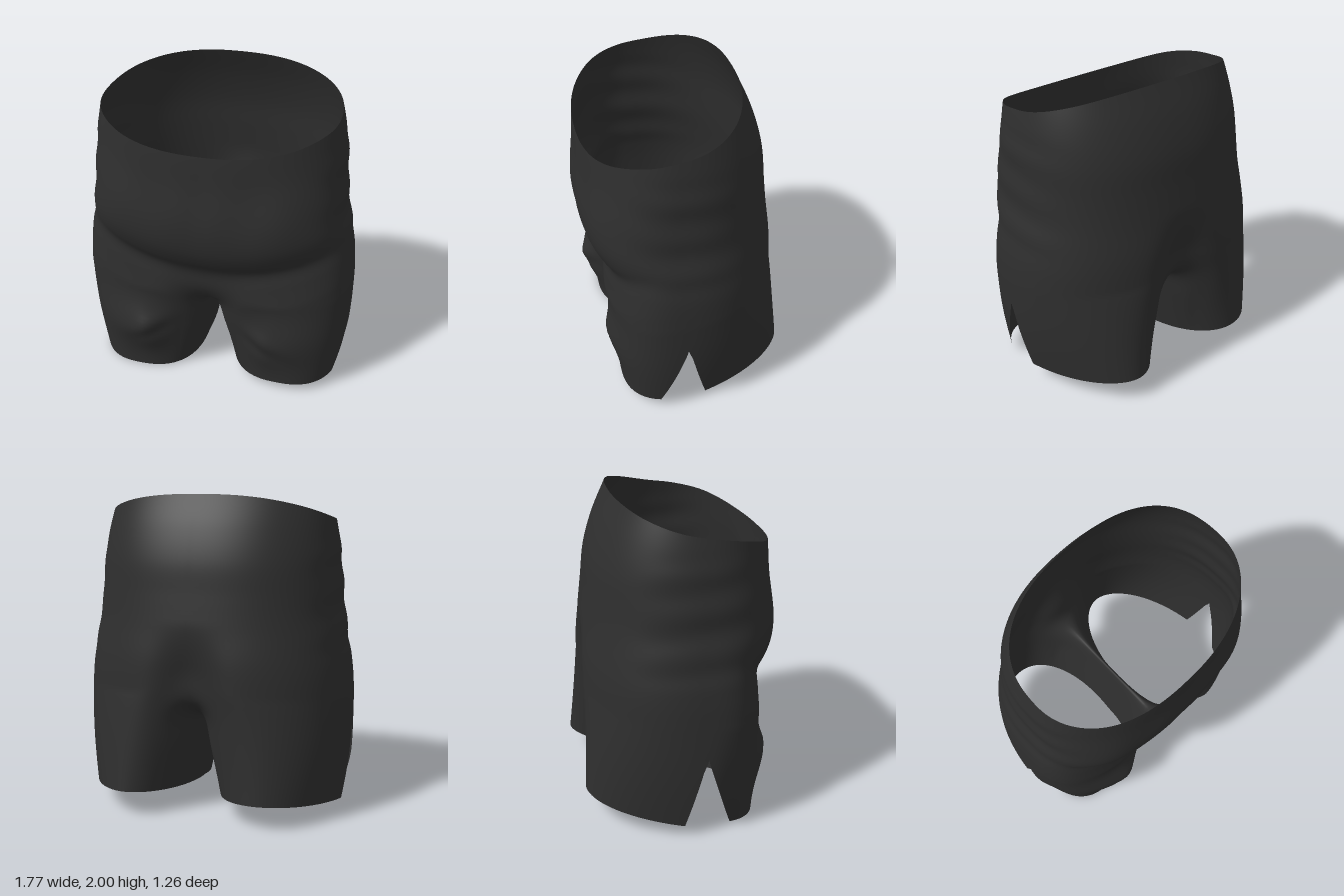
import * as THREE from 'three';
import { mergeVertices } from 'three/addons/utils/BufferGeometryUtils.js';

const { lerp, smoothstep } = THREE.MathUtils;
const curve = (xs, ys) => {
  const c = new THREE.CubicInterpolant(xs, ys, 1, [0]);
  return (x) => c.evaluate(Math.min(Math.max(x, xs[0]), xs[xs.length - 1]))[0];
};
const pw = (v, e) => Math.sign(v) * Math.pow(Math.abs(v), e);
const bump = (d, r) => Math.exp(-(d * d) / (r * r));

// Silhouette by height: front depth, back depth, half width
const frontZ = curve([0.6, 0.75, 0.87, 0.95, 1.05, 1.2, 1.5, 1.71, 2],
  [0.53, 0.515, 0.51, 0.56, 0.605, 0.63, 0.61, 0.6, 0.56]);
const backZ = curve([0.6, 0.8, 1, 1.2, 1.4, 1.6, 1.8, 2],
  [0.62, 0.612, 0.6, 0.57, 0.545, 0.52, 0.46, 0.37]);
const halfW = curve([0.7, 0.9, 1.1, 1.3, 1.5, 1.7, 1.87, 2],
  [0.88, 0.865, 0.832, 0.8, 0.786, 0.766, 0.733, 0.7]);
// Waistline height by depth
const waistY = curve([-0.37, -0.2, 0, 0.2, 0.4, 0.6],
  [2, 1.935, 1.875, 1.84, 1.795, 1.71]);

// Torso half: u runs front centre (0), outer side (0.5), back centre (1)
function torsoPoint(u, y, s) {
  const a = Math.PI * u, c = Math.cos(a);
  const up = smoothstep(y, 1, 1.8);
  const e = c > 0 ? lerp(0.66, 0.9, up) : lerp(s > 0 ? 0.9 : 0.85, 0.87, up);
  const cz = lerp(0.09, 0.12, up);
  const x = halfW(y) * pw(Math.max(Math.sin(a), 0), e);
  let z;
  if (c > 0) {
    // belly fold rises towards the hips
    z = cz + (frontZ(y - 0.32 * x * x) - cz) * pw(c, e);
    z -= 0.07 * bump(x, 0.12) * smoothstep(-y, -0.9, -0.7);
    z += 0.006 * Math.sin(x * 15 + s * 1.3 * x) * bump(y - 1.35, 0.2) * c;
  } else {
    z = cz + (backZ(y) + cz) * pw(c, e);
    z += 0.13 * bump(x, 0.17) * smoothstep(-y, -1.25, -0.75);
  }
  // soft side wrinkles
  const side = Math.pow(Math.sin(a), 10);
  const wr = 0.006 * side * Math.sin(y * 26 + s + u * 6) * smoothstep(y, 0.9, 1.1) * smoothstep(-y, -1.8, -1.6);
  return [s * (x + wr), y, z];
}

const ringY = (u) => lerp(0.67, 0.8, (1 - Math.cos(Math.PI * u)) / 2);
const torsoTop = (u) => {
  const c = Math.cos(Math.PI * u);
  return waistY(0.12 + (c > 0 ? 0.48 * pw(c, 0.9) : 0.49 * pw(c, 0.87)));
};

// Leg opening, wide in front and tapering towards the back
function hemPoint(deg, s) {
  const a = deg * Math.PI / 180, sn = Math.sin(a), c = Math.cos(a);
  const e = c > 0 ? 0.8 : s > 0 ? 1.05 : 0.98;
  let x = (s > 0 ? 0.475 : 0.487) + (s > 0 ? 0.362 : 0.38) * pw(sn, e);
  x -= 0.065 * Math.max(-c, 0);
  // right front panel tucks in at the slit
  if (s < 0) x -= 0.05 * Math.max(sn, 0) * smoothstep(c, 0, 0.4);
  const z = 0.05 + (c > 0 ? 0.41 : s > 0 ? 0.68 : 0.65) * pw(c, e);
  return [s * x, s > 0 ? 0.1 - 0.1 * z : 0.07 - 0.15 * z, z];
}

const mix = (a, b, q) => a.map((v, i) => lerp(v, b[i], q));
// Lofts a leg column; k < 1 spreads early to round off the crotch corners
function loft(a, b, q, k) {
  const p = mix(a, b, Math.pow(q, k));
  p[1] = lerp(a[1], b[1], q);
  return p;
}

// Outer leg surface, q from the crotch ring (0) to the hem (1)
function legOuter(u, q, s) {
  const away = smoothstep(Math.min(u, 1 - u), 0, 0.3);
  const p = loft(torsoPoint(u, ringY(u), s), hemPoint(-40 + 260 * u, s), q, lerp(0.65, 1, away));
  const swell = Math.sin(Math.PI * q);
  if (u < 0.5) {
    // bulge above the knee and creases fanning from the crotch
    const x = Math.abs(p[0]), k = Math.cos(Math.PI * u) * swell * smoothstep(u, 0, 0.12);
    p[2] += (s > 0 ? 0.05 : 0.09) * k * bump(x - 0.38, 0.3) * bump(p[1] - 0.37, 0.22);
    const d = p[1] - (0.6 - 0.5 * x);
    p[2] += k * bump(x - 0.27, 0.18) * (0.02 * bump(d, 0.05) - 0.02 * bump(d + 0.1, 0.05));
  }
  p[0] += s * 0.015 * swell * Math.sin(Math.PI * u);
  return p;
}

// Inner leg surface, w from the back to the front of the crotch seam
function legInner(w, q, s) {
  const arch = Math.max(Math.sin(Math.PI * w), 0);
  const seam = mix(torsoPoint(1, ringY(1), s), torsoPoint(0, ringY(0), s), w);
  seam[0] = 0;
  seam[1] -= 0.12 * Math.pow(arch, 0.8);
  return loft(seam, hemPoint(220 + 100 * w, s), q, lerp(0.65, 1, arch));
}

// Relaxes the cloth around the crotch so the seams there turn softly
function relaxCrotch(geometry) {
  const p = geometry.attributes.position, index = geometry.index.array;
  const near = Array.from({ length: p.count }, () => new Set());
  for (let i = 0; i < index.length; i += 3)
    for (let k = 0; k < 3; k++) {
      const a = index[i + k], b = index[i + (k + 1) % 3];
      near[a].add(b);
      near[b].add(a);
    }
  const weight = near.map((n, i) => 0.6 * bump(p.getX(i), 0.2) * bump(p.getY(i) - 0.68, 0.17));
  const here = new THREE.Vector3(), mean = new THREE.Vector3(), other = new THREE.Vector3();
  for (let pass = 0; pass < 30; pass++)
    near.forEach((n, i) => {
      if (weight[i] < 0.01) return;
      mean.set(0, 0, 0);
      for (const j of n) mean.add(other.fromBufferAttribute(p, j));
      here.fromBufferAttribute(p, i).lerp(mean.divideScalar(n.size), weight[i]);
      p.setXYZ(i, here.x, here.y, here.z);
    });
}

export function createModel() {
  const pos = [], idx = [], parts = [];

  function grid(cols, rows, s, fn) {
    const base = pos.length / 3;
    for (let j = 0; j <= rows; j++)
      for (let i = 0; i <= cols; i++) pos.push(...fn(i / cols, j / rows));
    for (let j = 0; j < rows; j++)
      for (let i = 0; i < cols; i++) {
        const a = base + j * (cols + 1) + i, b = a + 1, c = a + cols + 1, d = c + 1;
        if (s > 0) idx.push(a, c, b, b, c, d);
        else idx.push(a, b, c, b, d, c);
      }
  }
  function part(name, build) {
    const start = idx.length;
    build();
    parts.push([name, start, idx.length]);
  }

  // Side slit, opening from its apex down to the hem
  const slit = 0.497, apex = 0.28;
  const open = (q, k) => Math.pow(Math.max(0, (q - apex) / (1 - apex)), k);
  const frontN = 50, backN = 50, legRows = 25;

  part('torso', () => {
    for (const s of [1, -1]) {
      const f = (u, t) => torsoPoint(u, lerp(torsoTop(u), ringY(u), t), s);
      grid(frontN, 44, s, (i, t) => f(i * slit, t));
      grid(backN, 44, s, (i, t) => f(lerp(slit, 1, i), t));
    }
  });
  for (const [name, s] of [['leftLeg', 1], ['rightLeg', -1]])
    part(name, () => {
      grid(frontN, legRows, s, (i, q) => legOuter(i * (slit - 0.095 * open(q, 1.35)), q, s));
      grid(backN, legRows, s, (i, q) => legOuter(lerp(slit + 0.032 * open(q, 1.15), 1, i), q, s));
      grid(30, legRows, s, (w, q) => legInner(w, q, s));
    });

  // Weld everything so shading stays smooth across the seams
  let whole = new THREE.BufferGeometry();
  whole.setAttribute('position', new THREE.Float32BufferAttribute(pos, 3));
  whole.setIndex(idx);
  whole = mergeVertices(whole, 1e-4);
  relaxCrotch(whole);
  whole.computeVertexNormals();

  const fabric = new THREE.MeshStandardMaterial({ color: 0x2e2e2e, side: THREE.DoubleSide });
  fabric.name = 'charcoal fabric';
  const group = new THREE.Group();
  group.name = 'shorts';
  const index = Array.from(whole.index.array);
  for (const [name, from, to] of parts) {
    const g = new THREE.BufferGeometry();
    g.setAttribute('position', whole.attributes.position);
    g.setAttribute('normal', whole.attributes.normal);
    g.setIndex(index.slice(from, to));
    const mesh = new THREE.Mesh(g, fabric);
    mesh.name = name;
    group.add(mesh);
  }
  return group;
}
